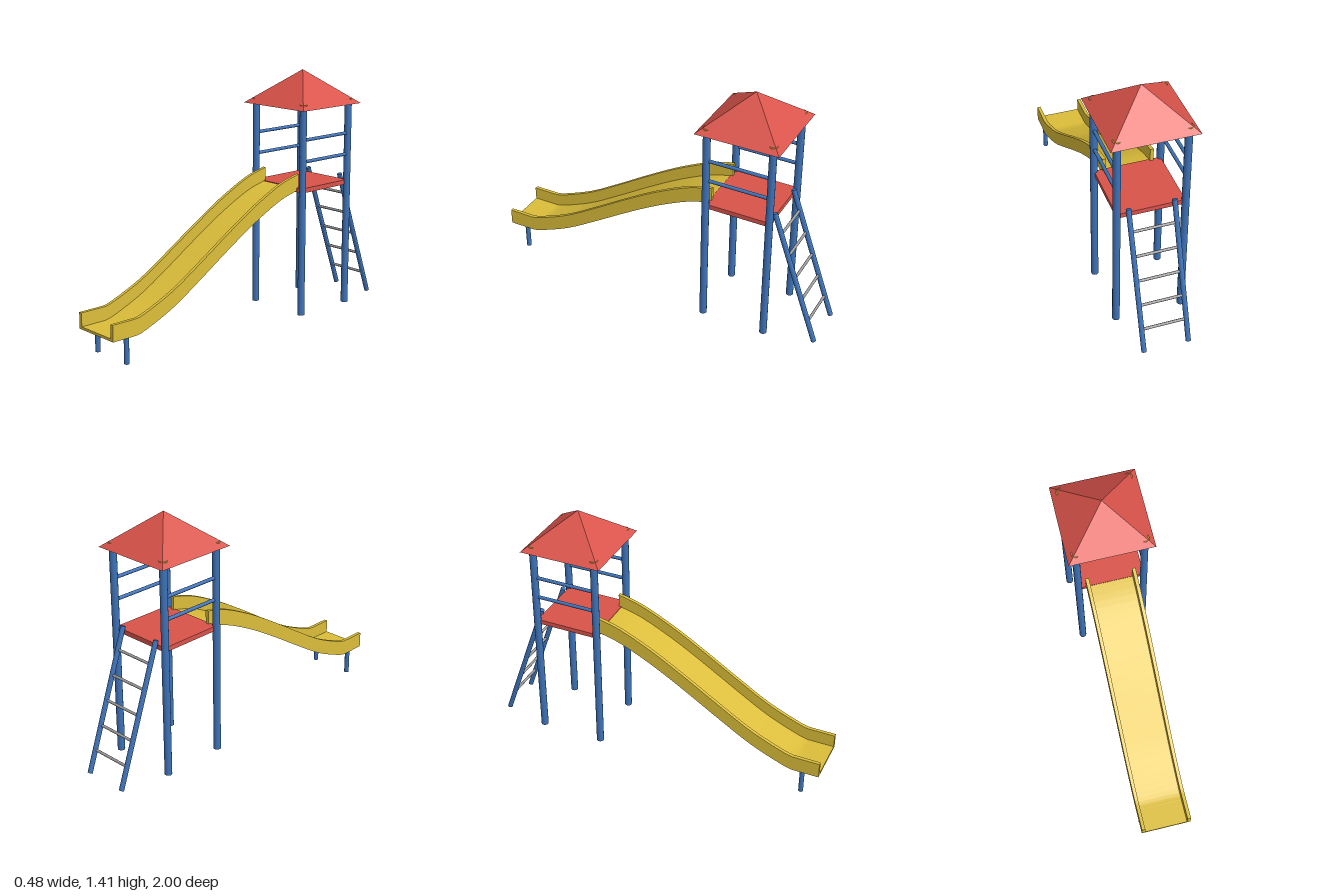
import * as THREE from 'three';

const mat = (name, color) => {
  const m = new THREE.MeshStandardMaterial({ color });
  m.name = name;
  return m;
};

export function createModel() {
  const group = new THREE.Group();
  const blue = mat('blue', 0x3d72b8);
  const red = mat('red', 0xd9534a);
  const yellow = mat('yellow', 0xdcbe3a);
  const grey = mat('grey', 0x9c9c9c);

  const add = (name, geometry, material, x = 0, y = 0, z = 0) => {
    const m = new THREE.Mesh(geometry, material);
    m.name = name;
    m.position.set(x, y, z);
    group.add(m);
    return m;
  };

  // Round bar between two points
  const bar = (name, a, b, radius, material, sides = 12) => {
    const p = new THREE.Vector3(...a), q = new THREE.Vector3(...b);
    const d = q.clone().sub(p);
    const m = add(name, new THREE.CylinderGeometry(radius, radius, d.length(), sides), material);
    m.position.copy(p).add(q).multiplyScalar(0.5);
    m.quaternion.setFromUnitVectors(new THREE.Vector3(0, 1, 0), d.normalize());
    return m;
  };

  const postX = 0.19, zFront = -0.33, zBack = -0.705, zMid = (zFront + zBack) / 2;

  // Tower posts with yellow caps, and side guard rails
  for (const x of [-postX, postX]) {
    for (const z of [zFront, zBack]) {
      bar('towerPost', [x, 0.008, z], [x, 1.23, z], 0.021, blue);
      add('postCap', new THREE.CylinderGeometry(0.024, 0.024, 0.012, 12), yellow, x, 1.236, z);
    }
    for (const y of [0.915, 1.04]) bar('guardRail', [x, y, zFront], [x, y, zBack], 0.01, blue);
  }

  // Platform
  add('platform', new THREE.BoxGeometry(0.38, 0.027, zFront - zBack), red, 0, 0.7465, zMid);

  // Pyramid roof
  const roof = new THREE.ConeGeometry(0.24 * Math.SQRT2, 0.195, 4, 1).toNonIndexed();
  roof.rotateY(Math.PI / 4);
  roof.computeVertexNormals();
  add('roof', roof, red, 0, 1.3125, zMid);

  // Slide: underside path as (z, y), swept across x
  const path = new THREE.SplineCurve([
    [0.87, 0.155], [0.8, 0.166], [0.6, 0.25], [0.4, 0.368], [0.2, 0.493],
    [0, 0.61], [-0.2, 0.705], [-0.345, 0.745],
  ].map(([z, y]) => new THREE.Vector2(z, y)));
  const points = [new THREE.Vector2(1, 0.155), ...path.getPoints(35)];
  const slidePart = (name, height, width, x) => {
    const top = points.map(p => new THREE.Vector2(p.x, p.y + height)).reverse();
    const geometry = new THREE.ExtrudeGeometry(new THREE.Shape([...points, ...top]),
      { depth: width, bevelEnabled: false });
    geometry.translate(0, 0, -width / 2);
    geometry.rotateY(-Math.PI / 2);
    add(name, geometry, yellow, x);
  };
  slidePart('slideBed', 0.015, 0.25, 0);
  for (const s of [-1, 1]) {
    slidePart('slideWall', 0.092, 0.02, s * 0.135);
    bar('slideLeg', [s * 0.125, 0.008, 0.9], [s * 0.125, 0.16, 0.9], 0.014, blue);
  }

  // Ladder leaning against the back of the platform
  const foot = [0.005, -0.985], head = [0.785, -0.71];
  for (const x of [-0.127, 0.127]) {
    bar('ladderRail', [x, ...foot], [x, ...head], 0.0145, blue);
  }
  for (let i = 0; i < 5; i++) {
    const y = 0.13 + i * 0.133;
    const z = foot[1] + (y - foot[0]) / (head[0] - foot[0]) * (head[1] - foot[1]);
    bar('ladderRung', [-0.127, y, z], [0.127, y, z], 0.008, grey, 10);
  }

  return group;
}
